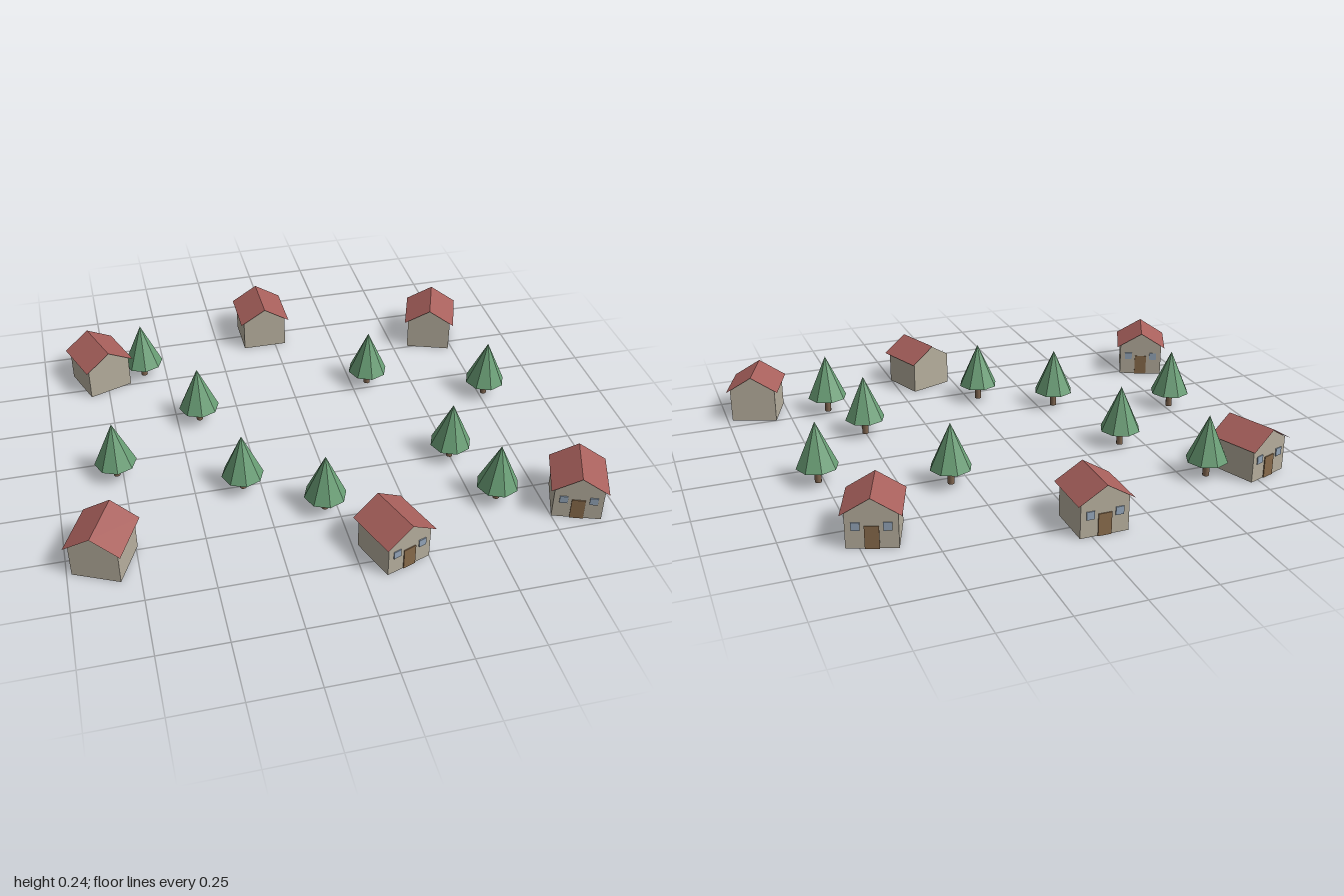
import * as THREE from 'three';

const mat = (name, color, extra = {}) => {
  const m = new THREE.MeshStandardMaterial({ color, ...extra });
  m.name = name;
  return m;
};

export function createModel() {
  const wallMat = mat('wall beige', 0xb8b09f);
  const roofMat = mat('roof red', 0xa8605c, { side: THREE.DoubleSide });
  const doorMat = mat('door brown', 0x8a6c4c);
  const windowMat = mat('window blue', 0x96a8bc);
  const trunkMat = mat('trunk brown', 0x806650);
  const leafMat = mat('foliage green', 0x6a9f76, { flatShading: true });

  const village = new THREE.Group();
  village.name = 'village';
  const add = (parent, name, geometry, material, x = 0, y = 0, z = 0) => {
    const mesh = new THREE.Mesh(geometry, material);
    mesh.name = name;
    mesh.position.set(x, y, z);
    parent.add(mesh);
    return mesh;
  };

  // House walls: a gabled pentagon extruded from back to front
  const half = 0.09, eave = 0.133, peak = 0.189;
  const gable = new THREE.Shape([
    [-half, 0], [half, 0], [half, eave], [0, peak], [-half, eave],
  ].map(([x, y]) => new THREE.Vector2(x, y)));
  const wallGeo = new THREE.ExtrudeGeometry(gable, { depth: 2 * half, bevelEnabled: false });
  wallGeo.translate(0, 0, -half);

  // Thin roof slope, overhanging the walls on every side
  const run = 0.104, drop = 0.064, ridge = 0.192;
  const slopeGeo = new THREE.PlaneGeometry(Math.hypot(run, drop), 2 * run).rotateX(-Math.PI / 2);
  const doorGeo = new THREE.BoxGeometry(0.05, 0.084, 0.006);
  const windowGeo = new THREE.BoxGeometry(0.03, 0.03, 0.006);

  // x, z and the heading of the door in degrees
  const houses = [
    [-0.77, -0.563, 200], [-0.046, -0.745, 180], [0.679, -0.563, 160],
    [-0.863, 0.526, 155], [0.136, 0.711, 20], [0.866, 0.618, -20],
  ];
  for (const [x, z, heading] of houses) {
    const house = new THREE.Group();
    house.name = 'house';
    house.position.set(x, 0, z);
    house.rotation.y = THREE.MathUtils.degToRad(heading);
    add(house, 'walls', wallGeo, wallMat);
    add(house, 'door', doorGeo, doorMat, 0, 0.042, half + 0.001);
    for (const s of [-1, 1]) {
      const slope = add(house, 'roofSlope', slopeGeo, roofMat, s * run / 2, ridge - drop / 2, 0);
      slope.rotation.z = -s * Math.atan2(drop, run);
      add(house, 'window', windowGeo, windowMat, s * 0.054, 0.083, half + 0.001);
    }
    village.add(house);
  }

  // Fir trees: a short trunk under an eight-sided cone
  const trunkGeo = new THREE.CylinderGeometry(0.013, 0.013, 0.07, 8);
  const crownGeo = new THREE.ConeGeometry(0.08, 0.177, 8);
  const trees = [
    [-0.59, -0.563], [-0.41, -0.2], [0.318, -0.29], [0.772, -0.107], [-0.773, 0.072],
    [-0.318, 0.254], [0.5, 0.254], [-0.045, 0.437], [0.59, 0.528],
  ];
  for (const [x, z] of trees) {
    const tree = new THREE.Group();
    tree.name = 'tree';
    tree.position.set(x, 0, z);
    add(tree, 'trunk', trunkGeo, trunkMat, 0, 0.035, 0);
    add(tree, 'crown', crownGeo, leafMat, 0, 0.065 + 0.0885, 0);
    village.add(tree);
  }
  return village;
}
